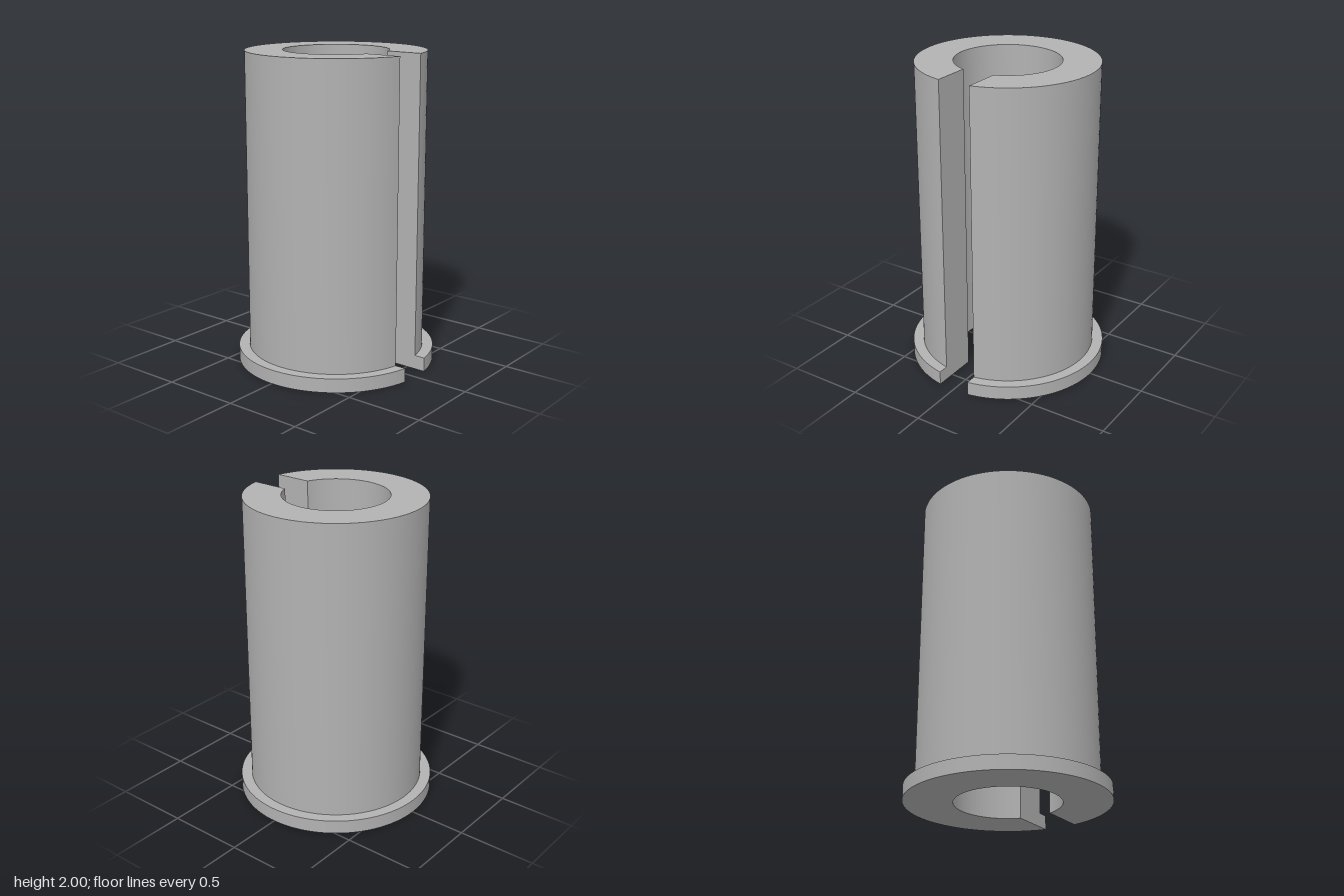
import * as THREE from 'three';
import { toCreasedNormals } from 'three/addons/utils/BufferGeometryUtils.js';

const BORE = 0.33, BODY = 0.565, FLANGE = 0.634;
const FLANGE_H = 0.09, HEIGHT = 2, SLOT = 0.106, SEGMENTS = 96;

// closed wall section: radius, height
const section = [
  [BORE, 0], [FLANGE, 0], [FLANGE, FLANGE_H], [BODY, FLANGE_H], [BODY, HEIGHT], [BORE, HEIGHT], [BORE, 0],
];

// revolved wall, with each ring ended where it meets the parallel-sided slot
function wallGeometry() {
  const geo = new THREE.LatheGeometry(section.map(([r, y]) => new THREE.Vector2(r, y)), SEGMENTS);
  const pos = geo.attributes.position;
  for (let k = 0; k < pos.count; k++) {
    const t = Math.floor(k / section.length) / SEGMENTS;
    const r = section[k % section.length][0];
    const start = Math.asin(SLOT / r);
    const angle = start + t * (2 * Math.PI - 2 * start);
    pos.setX(k, r * Math.cos(angle));
    pos.setZ(k, -r * Math.sin(angle));
  }
  return toCreasedNormals(geo, Math.PI / 6);
}

// flat slot side: the wall section cut at z = +-SLOT
function slotFaceGeometry(side) {
  const points = section.slice(0, -1).map(([r, y]) => new THREE.Vector2(Math.sqrt(r * r - SLOT * SLOT), y));
  const geo = new THREE.ShapeGeometry(new THREE.Shape(points));
  geo.translate(0, 0, side * SLOT);
  if (side > 0) {
    geo.setIndex(Array.from(geo.index.array).reverse());
    geo.computeVertexNormals();
  }
  return geo;
}

export function createModel() {
  const model = new THREE.Group();
  model.name = 'splitFlangedBushing';
  const grey = new THREE.MeshStandardMaterial({ color: 0xb2b2b2 });
  grey.name = 'grey';

  const add = (name, geo) => {
    const mesh = new THREE.Mesh(geo, grey);
    mesh.name = name;
    mesh.position.x = 0.005; // the slot shortens the +x side, so recentre
    model.add(mesh);
  };
  add('flangedSleeve', wallGeometry());
  add('slotFaceFront', slotFaceGeometry(1));
  add('slotFaceBack', slotFaceGeometry(-1));
  return model;
}
